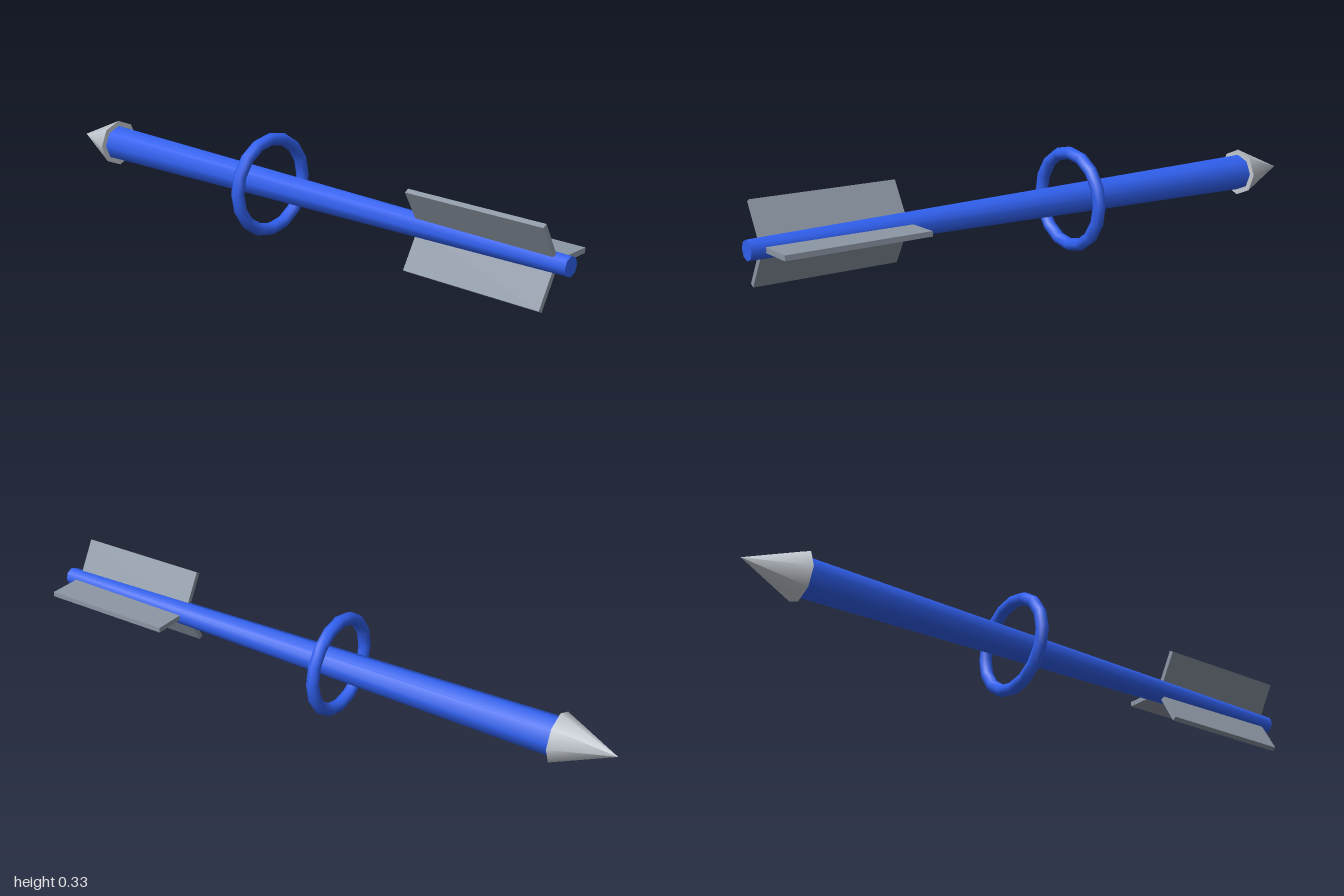
import * as THREE from 'three';

const AXIS_Y = 0.167;

export function createModel() {
  const model = new THREE.Group();
  const blue = new THREE.MeshStandardMaterial({ color: 0x3060f0 });
  const steel = new THREE.MeshStandardMaterial({ color: 0xc4cad2 });
  const slate = new THREE.MeshStandardMaterial({ color: 0x8c96a4 });

  const add = (name, geometry, material, z) => {
    const mesh = new THREE.Mesh(geometry, material);
    mesh.name = name;
    mesh.position.set(0, AXIS_Y, z);
    model.add(mesh);
    return mesh;
  };

  // Tapered eight-sided shaft, thin end forward
  add('shaft', new THREE.CylinderGeometry(0.03, 0.06, 1.82, 8).rotateX(Math.PI / 2), blue, 0.09);

  // Pointed tip at the back
  add('tip', new THREE.ConeGeometry(0.078, 0.18, 8).rotateX(-Math.PI / 2), steel, -0.91);

  // Free ring around the shaft
  add('ring', new THREE.TorusGeometry(0.146, 0.02, 8, 16), blue, -0.09);

  // Three fins spaced evenly around the thin end
  const inner = 0.01, outer = 0.138;
  for (let i = 0; i < 3; i++) {
    const geometry = new THREE.BoxGeometry(outer - inner, 0.016, 0.455);
    geometry.translate((inner + outer) / 2, 0, 0);
    add(`fin${i + 1}`, geometry, slate, 0.73).rotation.z = (i * Math.PI * 2) / 3;
  }

  return model;
}
